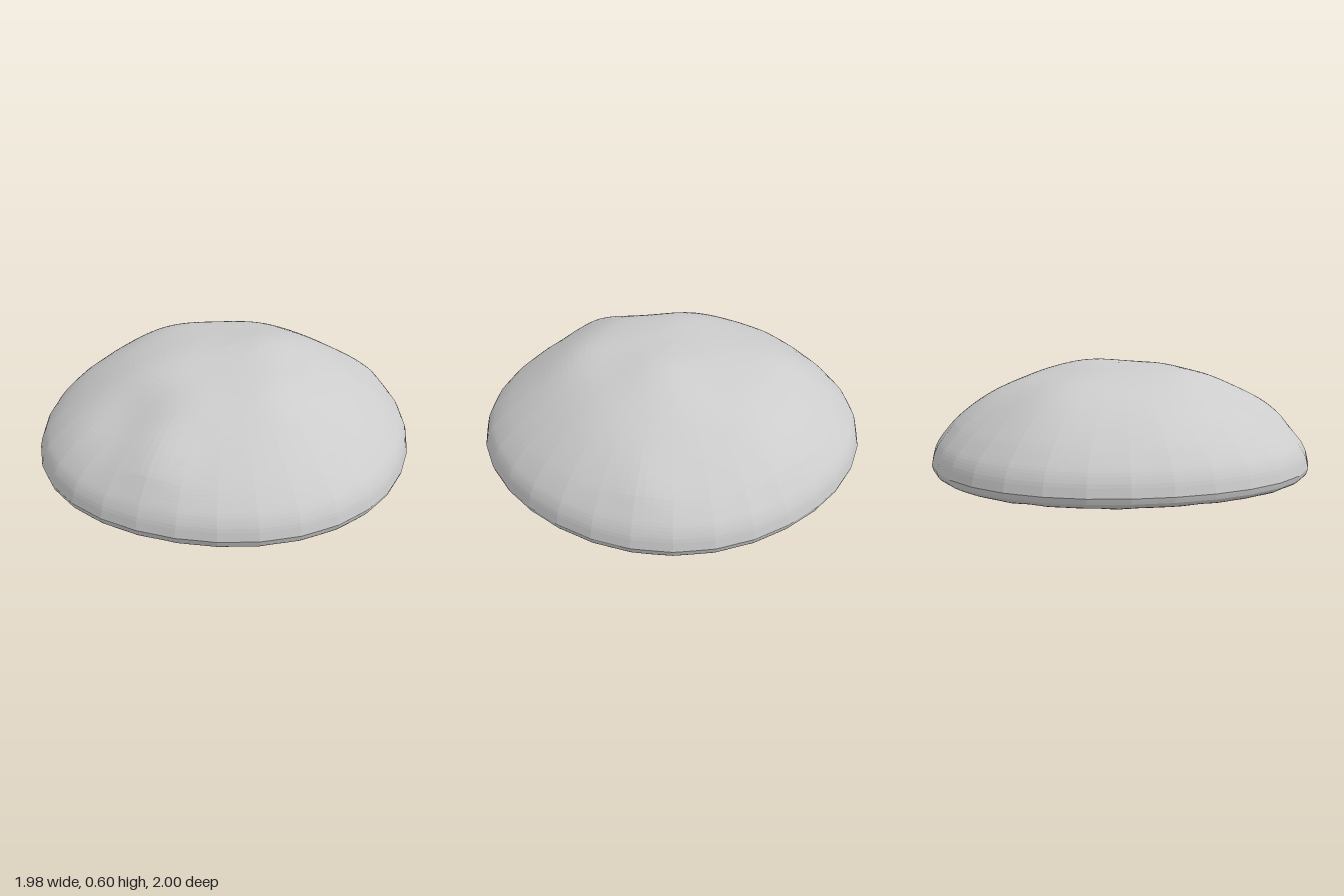
import * as THREE from 'three';
import { mergeGeometries, mergeVertices } from 'three/addons/utils/BufferGeometryUtils.js';

const SEG = 128;   // steps around
const SIDES = 32;  // sides of the rim outline

// Piecewise smooth curve through [radius, height] points, sampled by radius
function sampler(points) {
  return r => {
    let i = 0;
    while (i < points.length - 2 && r > points[i + 1][0]) i++;
    const at = k => points[Math.min(Math.max(k, 0), points.length - 1)];
    const slope = k => (at(k + 1)[1] - at(k - 1)[1]) / (at(k + 1)[0] - at(k - 1)[0]);
    const [r0, y0] = at(i), [r1, y1] = at(i + 1);
    const h = r1 - r0, t = (r - r0) / h, t2 = t * t, t3 = t2 * t;
    return (2 * t3 - 3 * t2 + 1) * y0 + (t3 - 2 * t2 + t) * h * slope(i)
      + (3 * t2 - 2 * t3) * y1 + (t3 - t2) * h * slope(i + 1);
  };
}

const domeHeight = sampler([[0, 0.59], [0.2, 0.577], [0.4, 0.537], [0.55, 0.487],
  [0.7, 0.408], [0.85, 0.302], [0.95, 0.205], [0.985, 0.145], [1, 0.085]]);
const underHeight = sampler([[0, 0.11], [0.2, 0.105], [0.3, 0.075], [0.42, 0.042],
  [0.6, 0.028], [0.8, 0.015], [0.9, 0.02], [0.96, 0.034], [0.99, 0.055], [1, 0.085]]);

// Soft lumps and dents on the dome: x, z, height, width
const lumps = [
  [0.22, -0.1, 0.025, 0.2], [-0.15, 0.8, 0.035, 0.17], [-0.38, 0.52, -0.028, 0.17],
  [-0.46, -0.46, 0.025, 0.24], [0.32, 0.34, 0.032, 0.22], [-0.3, 0.25, 0.015, 0.2],
  [0.3, -0.32, 0.015, 0.2], [0.05, -0.74, 0.03, 0.26], [0.7, -0.5, 0.022, 0.16],
  [-0.82, 0, 0.01, 0.16], [-0.05, 0.5, 0.015, 0.2], [0.6, -0.1, 0.02, 0.26],
];

function domeY(r, a) {
  const x = r * Math.sin(a), z = r * Math.cos(a);
  const fade = Math.min(1, (1 - r) / 0.12);
  let y = domeHeight(r);
  for (const [lx, lz, h, w] of lumps) {
    y += fade * h * Math.exp(-((x - lx) ** 2 + (z - lz) ** 2) / (w * w));
  }
  return y;
}

// Faint irregular radial gills, deepest round the central hollow
function underY(r, a) {
  const wave = 0.45 * Math.sin(23 * a + 3 * r) + 0.3 * Math.sin(37 * a + 1 - 4 * r)
    + 0.25 * Math.sin(9 * a + 9 * r);
  const amount = Math.min(1, Math.max(0, (r - 0.18) / 0.16)) * Math.min(1, (1 - r) / 0.15);
  const depth = 0.007 + 0.012 * Math.exp(-(((r - 0.36) / 0.14) ** 2));
  return Math.max(0, underHeight(r) + amount * depth * wave);
}

// Round sheet over the many-sided outline, facing up or down
function sheet(heightAt, rings, up) {
  const pos = [], index = [];
  const step = (Math.PI * 2) / SIDES;
  for (let i = 0; i <= rings; i++) {
    const r = Math.sin((i / rings) * Math.PI / 2);
    for (let j = 0; j < SEG; j++) {
      const a = (j / SEG) * Math.PI * 2;
      // Straight rim sides, slightly fuller on the diagonals
      const edge = Math.cos(step / 2) / Math.cos((a % step) - step / 2);
      const full = 1 + 0.024 * Math.sin(2 * a) ** 2;
      const out = r * full * (1 + (edge - 1) * r ** 4);
      pos.push(0.99 * out * Math.sin(a), heightAt(r, a), out * Math.cos(a));
      if (i < rings) {
        const k = (j + 1) % SEG;
        const p = i * SEG + j, q = i * SEG + k, s = p + SEG, t = q + SEG;
        const tris = i ? [p, s, q, q, s, t] : [0, s, t];
        index.push(...(up ? tris : tris.reverse()));
      }
    }
  }
  // The innermost ring is a single centre point
  const g = new THREE.BufferGeometry();
  g.setAttribute('position', new THREE.Float32BufferAttribute(pos, 3));
  g.setIndex(index);
  return g;
}

export function createModel() {
  const group = new THREE.Group();
  group.name = 'mushroomCap';

  // Domed top and gilled underside, welded along the rounded rim
  const geometry = mergeVertices(mergeGeometries([
    sheet(domeY, 44, true),
    sheet(underY, 36, false),
  ]), 1e-5);
  geometry.computeVertexNormals();

  const cap = new THREE.Mesh(geometry,
    new THREE.MeshStandardMaterial({ color: 0xcccccc, flatShading: true }));
  cap.name = 'cap';
  group.add(cap);
  return group;
}
